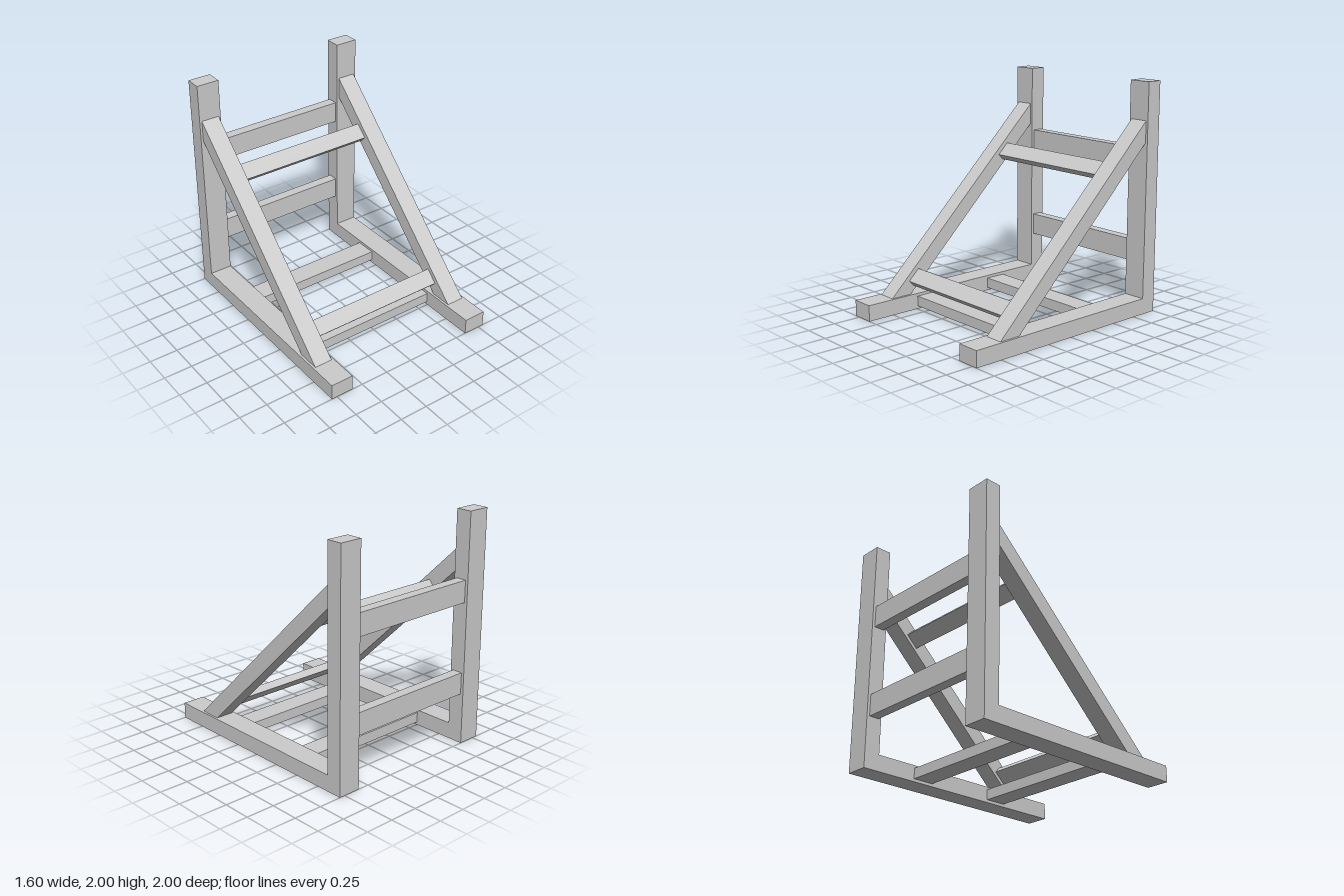
import * as THREE from 'three';

export function createModel() {
  const model = new THREE.Group();
  const material = new THREE.MeshStandardMaterial({ color: 0xcccccc, flatShading: true });

  function add(name, geometry, x, y, z) {
    const mesh = new THREE.Mesh(geometry, material);
    mesh.name = name;
    mesh.position.set(x, y, z);
    model.add(mesh);
    return mesh;
  }
  const box = (name, w, h, d, x, y, z) => add(name, new THREE.BoxGeometry(w, h, d), x, y, z);

  // Sloping brace outline in (z, y), cut flush against post and floor rail
  const outline = new THREE.Shape([
    [-0.86, 1.49], [0.55, 0.14], [0.745, 0.14], [-0.86, 1.675],
  ].map(([z, y]) => new THREE.Vector2(z, y)));
  const braceGeometry = new THREE.ExtrudeGeometry(outline, { depth: 0.16, bevelEnabled: false });
  braceGeometry.translate(0, 0, -0.08).rotateY(-Math.PI / 2);

  // Side frames
  for (const [side, s] of [['left', 1], ['right', -1]]) {
    box(side + 'Post', 0.2, 2, 0.14, s * 0.7, 1, -0.93);
    box(side + 'FloorRail', 0.2, 0.14, 1.86, s * 0.7, 0.07, 0.07);
    add(side + 'Brace', braceGeometry, s * 0.7, 0, 0);
  }

  // Upright crossbars between the posts
  box('upperBackCrossbar', 1.2, 0.19, 0.09, 0, 1.335, -0.93);
  box('lowerBackCrossbar', 1.2, 0.19, 0.09, 0, 0.535, -0.93);

  // Flat crossbars between the floor rails
  box('frontFloorCrossbar', 1.2, 0.09, 0.19, 0, 0.07, 0.395);
  box('rearFloorCrossbar', 1.2, 0.09, 0.19, 0, 0.07, -0.405);

  // Tilted crossbars between the braces, following their slope
  const tilt = -Math.atan2(1.41, 1.35);
  box('upperBraceCrossbar', 1.24, 0.14, 0.065, 0, 1.271, -0.543).rotation.x = tilt;
  box('lowerBraceCrossbar', 1.24, 0.14, 0.065, 0, 0.284, 0.489).rotation.x = tilt;

  return model;
}
